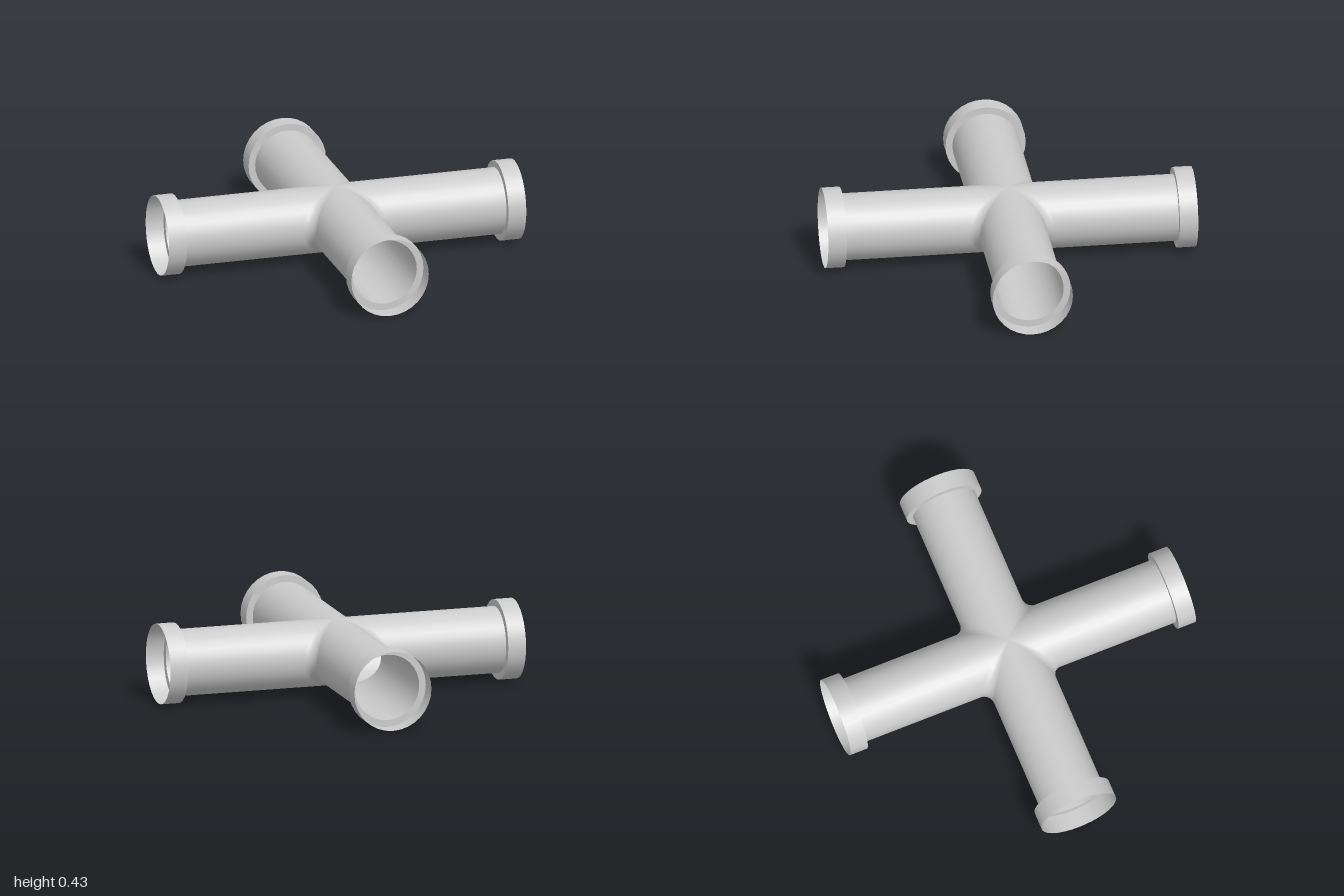
import * as THREE from 'three';

const R = 0.18;        // pipe radius
const COLLAR = 0.217;  // socket radius, also the height of the pipe axes
const STEP = 0.9;      // where the pipe widens into the socket
const END = 1;
const FILLET = 0.06;   // rounding where the pipes meet
const HALF = 16;       // segments per half circle
const ARC = 10;        // segments across the rounding

// One quarter of the cross: half of the +x pipe, the rounded inner corner, half of the +z pipe
function quarterGeometry() {
  const positions = [], normals = [], index = [];
  const cols = ARC + 3;
  for (let i = 0; i <= HALF; i++) {
    const a = -Math.PI / 2 + (Math.PI * i) / HALF;
    const c = Math.cos(a), s = Math.sin(a);
    const alongX = new THREE.Vector3(0, s, c);  // outward normal on the x pipe
    const alongZ = new THREE.Vector3(c, s, 0);  // outward normal on the z pipe
    // centre of the ball that rolls along both pipes
    const centre = new THREE.Vector3(c, s, c).multiplyScalar(R + FILLET);
    const add = (p, n) => { positions.push(p.x, p.y, p.z); normals.push(n.x, n.y, n.z); };
    add(new THREE.Vector3(STEP, R * s, R * c), alongX);
    for (let j = 0; j <= ARC; j++) {
      const n = alongX.clone().lerp(alongZ, j / ARC).normalize();
      add(centre.clone().addScaledVector(n, -FILLET), n);
    }
    add(new THREE.Vector3(R * c, R * s, STEP), alongZ);
  }
  for (let i = 0; i < HALF; i++) {
    for (let j = 0; j < cols - 1; j++) {
      const p = i * cols + j, q = p + cols;
      index.push(p, q, p + 1, q, q + 1, p + 1);
    }
  }
  const g = new THREE.BufferGeometry();
  g.setAttribute('position', new THREE.Float32BufferAttribute(positions, 3));
  g.setAttribute('normal', new THREE.Float32BufferAttribute(normals, 3));
  g.setIndex(index);
  return g;
}

export function createModel() {
  const material = new THREE.MeshStandardMaterial({ color: 0xcccccc, side: THREE.DoubleSide });
  const model = new THREE.Group();
  model.name = 'pipeCross';

  const quarter = quarterGeometry();
  const shoulder = new THREE.RingGeometry(R, COLLAR, HALF * 2);
  const wall = new THREE.CylinderGeometry(COLLAR, COLLAR, END - STEP, HALF * 2, 1, true).rotateX(Math.PI / 2);

  const part = (name, geometry, parent, z = 0) => {
    const mesh = new THREE.Mesh(geometry, material);
    mesh.name = name;
    mesh.position.z = z;
    parent.add(mesh);
  };

  // Four equal arms around the vertical axis
  ['front', 'left', 'back', 'right'].forEach((side, k) => {
    const arm = new THREE.Group();
    arm.name = side + 'Arm';
    arm.position.y = COLLAR;
    arm.rotation.y = (k * Math.PI) / 2;
    part(side + 'PipeQuarter', quarter, arm);
    part(side + 'SocketShoulder', shoulder, arm, STEP);
    part(side + 'SocketWall', wall, arm, (STEP + END) / 2);
    model.add(arm);
  });
  return model;
}
